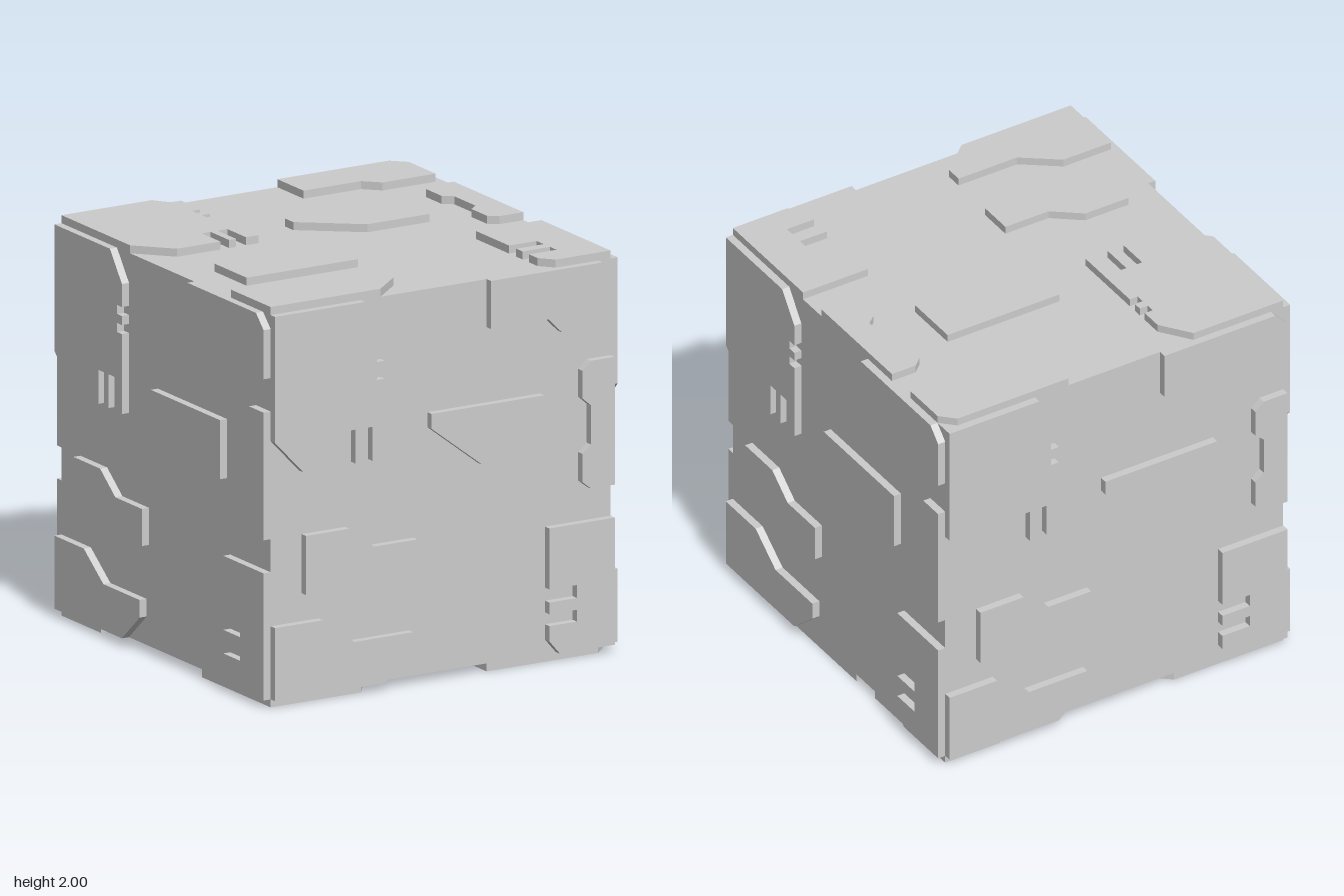
import * as THREE from 'three';

const CORE = 0.96;   // half size of the inner cube
const PLATE = 0.04;  // thickness of the raised plates

// Rectangular notches cut in a vertical edge at x, reaching depth; rows are [start, end] heights
const edgeNotches = (x, depth, rows) =>
  rows.flatMap(([a, b]) => [[x, a], [x + depth, a], [x + depth, b], [x, b]]);
// Rectangular slots cut in a horizontal edge at y
const edgeSlots = (y, depth, cols) =>
  cols.flatMap(([a, b]) => [[a, y], [a, y + depth], [b, y + depth], [b, y]]);

// Outlines of the plates on one face, centred on the face
const outlines = {
  slottedCornerPlate: [
    [-0.96, 0.96], [-0.45, 0.96], [-0.34, 0.81],
    ...edgeNotches(-0.34, -0.045, [[0.695, 0.65], [0.605, 0.56]]),
    [-0.34, 0.16],
    ...edgeSlots(0.16, 0.17, [[-0.41, -0.465], [-0.505, -0.555]]),
    [-0.8, 0.16], [-0.96, 0.33],
  ],
  upperCornerPlate: [
    [0.26, 0.96], [0.89, 0.96], [0.96, 0.89], [0.96, 0.645],
    [0.66, 0.645], [0.585, 0.72], [0.26, 0.72],
  ],
  centrePlate: [[-0.075, 0.345], [0.56, 0.345], [0.56, 0.05], [0.21, 0.05], [-0.075, 0.27]],
  edgePlate: [
    [0.96, 0.478], [0.825, 0.478], [0.777, 0.435], [0.777, 0.296], [0.825, 0.255],
    [0.825, 0.06], [0.777, 0.02], [0.777, -0.122], [0.825, -0.16], [0.96, -0.16],
  ],
  steppedPlate: [
    [-0.785, -0.16], [-0.54, -0.16], [-0.4, -0.27],
    [-0.155, -0.27], [-0.155, -0.455], [-0.785, -0.455],
  ],
  lowerCornerPlate: [
    [-0.96, -0.595], [-0.69, -0.595], [-0.51, -0.73], [-0.178, -0.73],
    [-0.178, -0.818], [-0.34, -0.96], [-0.96, -0.96],
  ],
  notchedCornerPlate: [
    [0.59, -0.325], [0.96, -0.325], [0.96, -0.96], [0.65, -0.96], [0.59, -0.89],
    ...edgeNotches(0.59, 0.155, [[-0.813, -0.754], [-0.695, -0.63]]),
  ],
};

// Rotation that turns the front face onto each side of the cube
const faces = {
  frontFace: [0, 0],
  rightHandFace: [0, Math.PI / 2],
  backFace: [0, Math.PI],
  leftHandFace: [0, -Math.PI / 2],
  topFace: [-Math.PI / 2, 0],
  bottomFace: [Math.PI / 2, 0],
};

export function createModel() {
  const model = new THREE.Group();
  model.name = 'platedCube';
  const material = new THREE.MeshStandardMaterial({ color: 0xcccccc, flatShading: true });

  const cube = new THREE.Group();
  cube.name = 'cube';
  cube.position.y = CORE + PLATE;
  model.add(cube);

  // Inner cube
  const core = new THREE.Mesh(new THREE.BoxGeometry(2 * CORE, 2 * CORE, 2 * CORE), material);
  core.name = 'core';
  cube.add(core);

  // Plate geometries, shared by all six faces
  const plates = Object.entries(outlines).map(([name, points]) => {
    const shape = new THREE.Shape(points.map(([x, y]) => new THREE.Vector2(x, y)));
    const geometry = new THREE.ExtrudeGeometry(shape, { depth: PLATE, bevelEnabled: false });
    return [name, geometry.translate(0, 0, CORE)];
  });

  // The same set of plates on every face
  for (const [faceName, [rx, ry]] of Object.entries(faces)) {
    const face = new THREE.Group();
    face.name = faceName;
    face.rotation.set(rx, ry, 0);
    for (const [name, geometry] of plates) {
      const plate = new THREE.Mesh(geometry, material);
      plate.name = name;
      face.add(plate);
    }
    cube.add(face);
  }
  return model;
}
